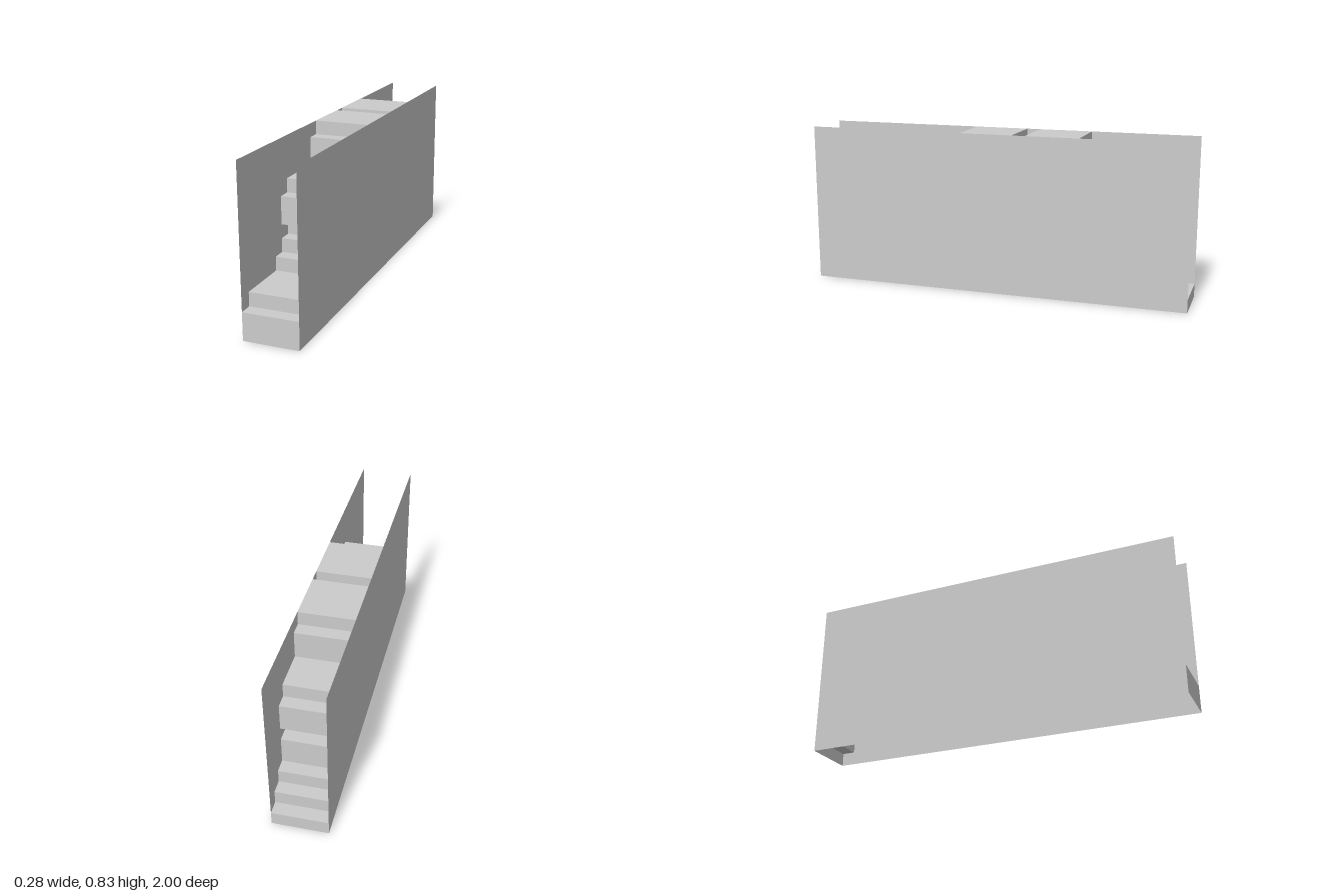
import * as THREE from 'three';

// Grid unit: the model is 29 units long, 12 high and 4 wide
const U = 2 / 29, LENGTH = 29, HEIGHT = 12, HALF_WIDTH = 2 * U;

// Stepped outlines as [z, y] in grid units, z counted from the back end
const SECTIONS = {
  rearLowerSteps: [[0, 0], [0, 1], [1, 1], [1, 2], [2, 2], [2, 3], [3, 3], [3, 5], [4, 5], [4, 6]],
  rearUpperSteps: [[4, 6], [3, 6], [3, 8], [4, 8], [4, 9], [7, 9], [7, 11], [8, 11], [8, 12]],
  notchedTop: [[8, 12], [12, 12], [12, 11], [13, 11], [13, 12], [17, 12]],
  frontUpperSteps: [[17, 12], [17, 11], [18, 11], [18, 9], [22, 9], [22, 8], [23, 8], [23, 6], [22, 6]],
  frontLowerSteps: [[22, 6], [22, 5], [23, 5], [23, 4], [24, 4], [24, 3], [28, 3], [28, 2], [29, 2], [29, 0]],
};

// Flat-faced ribbon across the full width, following a stepped outline
function ribbon(path) {
  const positions = [];
  const corner = (x, [z, y]) => [x, y * U, z * U - 1];
  for (let i = 0; i + 1 < path.length; i++) {
    const a = path[i], b = path[i + 1], w = HALF_WIDTH;
    positions.push(
      ...corner(-w, a), ...corner(-w, b), ...corner(w, a),
      ...corner(w, a), ...corner(-w, b), ...corner(w, b));
  }
  const geometry = new THREE.BufferGeometry();
  geometry.setAttribute('position', new THREE.Float32BufferAttribute(positions, 3));
  geometry.computeVertexNormals();
  return geometry;
}

export function createModel() {
  const model = new THREE.Group();
  model.name = 'steppedShell';
  const grey = new THREE.MeshStandardMaterial({ color: 0xcccccc, side: THREE.DoubleSide });
  grey.name = 'lightGrey';

  // Stepped strips between the walls; the underside stays open
  for (const [name, path] of Object.entries(SECTIONS)) {
    const mesh = new THREE.Mesh(ribbon(path), grey);
    mesh.name = name;
    model.add(mesh);
  }

  // Flat rectangular side walls
  for (const side of [1, -1]) {
    const wall = new THREE.Mesh(new THREE.PlaneGeometry(LENGTH * U, HEIGHT * U), grey);
    wall.name = side > 0 ? 'leftWall' : 'rightWall';
    wall.rotation.y = side * Math.PI / 2;
    wall.position.set(side * HALF_WIDTH, HEIGHT * U / 2, 0);
    model.add(wall);
  }
  return model;
}
